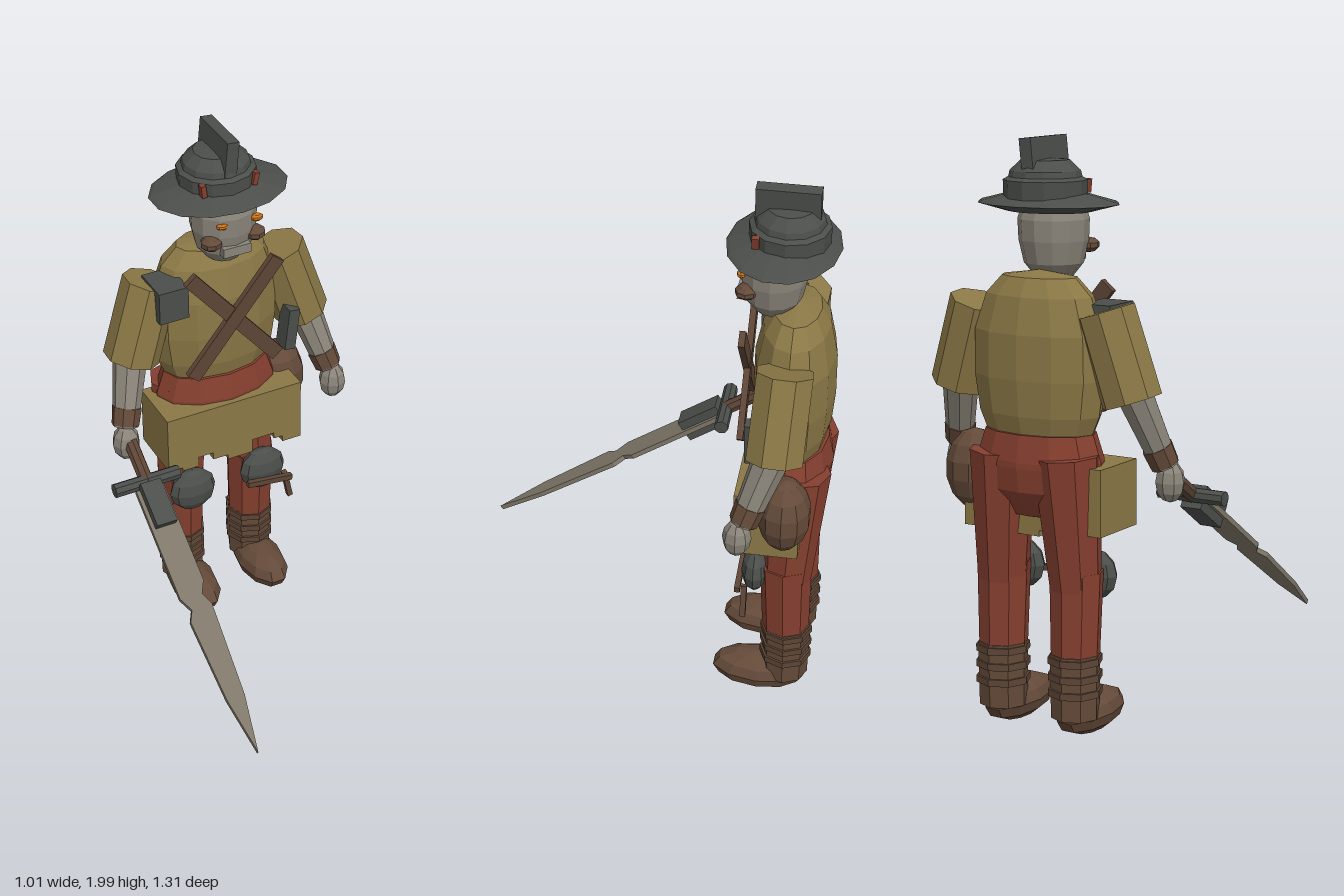
import * as THREE from 'three';

const mat = (name, color) => {
  const m = new THREE.MeshStandardMaterial({ color, flatShading: true });
  m.name = name;
  return m;
};
const V = (x, y, z) => new THREE.Vector3(x, y, z);

export function createModel() {
  const khaki = mat('khaki cloth', 0x8b7846);
  const red = mat('rust red cloth', 0x853f2f);
  const skin = mat('grey skin', 0x8b857a);
  const iron = mat('dark iron', 0x4b4e4b);
  const leather = mat('brown leather', 0x644a39);
  const strap = mat('strap brown', 0x5d4536);
  const steel = mat('dull steel', 0x7f7869);
  const orange = mat('orange eyes', 0xcf7418);

  const model = new THREE.Group();
  model.name = 'swordsman';
  const CX = 0.03; // body's own mirror plane

  const add = (name, geo, m, x = 0, y = 0, z = 0, parent = model) => {
    const mesh = new THREE.Mesh(geo, m);
    mesh.name = name;
    mesh.position.set(x, y, z);
    parent.add(mesh);
    return mesh;
  };
  const box = (name, m, size, pos, rz = 0, parent = model) => {
    const b = add(name, new THREE.BoxGeometry(...size), m, ...pos, parent);
    b.rotation.z = rz;
    return b;
  };
  const ball = (name, m, r, pos, parent = model, ws = 10, hs = 7) => {
    const b = add(name, new THREE.SphereGeometry(1, ws, hs), m, ...pos, parent);
    b.scale.set(...r);
    return b;
  };
  // Turned part, squashed in z
  const lathe = (name, m, pts, z, squash, sides = 12) => {
    const l = add(name, new THREE.LatheGeometry(pts.map(p => new THREE.Vector2(...p)), sides), m, CX, 0, z);
    l.scale.z = squash;
    return l;
  };
  // Tapered prism from a to b
  const limb = (name, m, a, b, ra, rb, sides = 8, parent = model) => {
    const d = b.clone().sub(a);
    const c = a.clone().add(b).multiplyScalar(0.5);
    const mesh = add(name, new THREE.CylinderGeometry(rb, ra, d.length(), sides), m, c.x, c.y, c.z, parent);
    mesh.quaternion.setFromUnitVectors(V(0, 1, 0), d.normalize());
    return mesh;
  };

  // Torso, waistband and hips
  lathe('torso', khaki, [[0, 1.03], [0.2, 1.035], [0.228, 1.1], [0.246, 1.22], [0.243, 1.37],
    [0.2, 1.49], [0.14, 1.55], [0, 1.57]], -0.5, 0.57);
  lathe('waistband', red, [[0, 0.93], [0.235, 0.93], [0.235, 0.95], [0.205, 1.04], [0, 1.04]], -0.5, 0.62);
  lathe('hips', red, [[0, 0.74], [0.12, 0.76], [0.21, 0.85], [0.225, 0.94], [0, 0.95]], -0.51, 0.6);

  // Crossed chest straps
  for (const s of [-1, 1]) {
    box('chestStrap', strap, [0.055, 0.53, 0.022], [CX + 0.003, 1.307, -0.338 - 0.002 * s], s * 0.69);
  }

  // Ragged apron with a notched hem
  const hem = [[-0.24, 0.94], [-0.24, 0.715], [-0.185, 0.715], [-0.185, 0.7], [-0.12, 0.7], [-0.12, 0.74],
    [-0.06, 0.74], [-0.06, 0.71], [0.0, 0.71], [0.0, 0.69], [0.1, 0.69], [0.1, 0.745],
    [0.19, 0.745], [0.19, 0.72], [0.225, 0.72], [0.225, 0.695], [0.3, 0.695], [0.3, 0.94]];
  add('apron', new THREE.ExtrudeGeometry(new THREE.Shape(hem.map(p => new THREE.Vector2(...p))),
    { depth: 0.225, bevelEnabled: false }), khaki, 0, 0, -0.56);

  // Carried gear
  ball('hipPouch', leather, [0.105, 0.14, 0.093], [0.29, 0.88, -0.508]);
  box('shoulderPlate', iron, [0.112, 0.125, 0.145], [-0.187, 1.407, -0.433]);
  box('sideSheath', iron, [0.042, 0.165, 0.07], [0.28, 1.16, -0.4], -0.12);

  // Arms and legs, mirrored about the body
  for (const s of [-1, 1]) {
    const arm = new THREE.Group(), leg = new THREE.Group();
    arm.name = s > 0 ? 'leftArm' : 'rightArm';
    leg.name = s > 0 ? 'leftLeg' : 'rightLeg';
    model.add(arm, leg);
    const P = (x, y, z) => V(CX + s * x, y, z);
    const at = (x, y, z) => P(x, y, z).toArray();

    limb('sleeve', khaki, P(0.248, 1.45, -0.49), P(0.34, 1.16, -0.475), 0.1, 0.102, 8, arm);
    limb('forearm', skin, P(0.34, 1.2, -0.475), P(0.412, 0.94, -0.385), 0.064, 0.046, 8, arm);
    limb('cuff', leather, P(0.393, 1.005, -0.408), P(0.411, 0.945, -0.387), 0.054, 0.05, 8, arm);
    ball('hand', skin, [0.051, 0.07, 0.05], at(0.419, 0.885, -0.368), arm, 8, 6);

    limb('thigh', red, P(0.125, 0.97, -0.535), P(0.145, 0.52, -0.515), 0.115, 0.087, 8, leg);
    limb('shin', red, P(0.145, 0.58, -0.51), P(0.145, 0.26, -0.52), 0.092, 0.083, 8, leg);
    ball('kneePad', iron, [0.092, 0.087, 0.05], at(0.145, 0.545, -0.405), leg, 10, 6);
    limb('boot', leather, P(0.145, 0.08, -0.522), P(0.145, 0.3, -0.522), 0.083, 0.086, 8, leg);
    for (const y of [0.17, 0.225, 0.28]) {
      limb('bootBand', strap, P(0.145, y - 0.012, -0.522), P(0.145, y + 0.012, -0.522), 0.093, 0.093, 8, leg);
    }
    const shoe = ball('shoe', leather, [0.088, 0.072, 0.172], at(0.145, 0.078, -0.428), leg, 10, 6);
    shoe.rotation.x = -0.03;
  }

  // Loose tie around the left knee
  box('kneeTie', strap, [0.185, 0.022, 0.02], [0.18, 0.515, -0.352], -0.13);
  box('kneeTieEnd', strap, [0.02, 0.12, 0.02], [0.265, 0.455, -0.375], 0.2);

  // Head and face
  lathe('head', skin, [[0, 1.53], [0.06, 1.535], [0.1, 1.585], [0.117, 1.66], [0.12, 1.73],
    [0.1, 1.79], [0, 1.8]], -0.415, 0.97);
  for (const s of [-1, 1]) {
    ball('eye', orange, [0.024, 0.014, 0.016], [CX + 0.018 + s * 0.066, 1.708, -0.318], model, 8, 5);
    ball('cheekTuft', leather, [0.04, 0.026, 0.04], [CX + s * 0.083, 1.64, -0.335], model, 8, 5);
  }
  box('muzzle', skin, [0.105, 0.035, 0.05], [CX, 1.605, -0.325]);

  // Hat: brim, crown, fin and red tags
  lathe('hatBrim', iron, [[0, 1.755], [0.15, 1.757], [0.252, 1.783], [0.24, 1.79], [0.14, 1.815], [0, 1.82]], -0.445, 0.76, 14);
  lathe('hatCrown', iron, [[0.138, 1.79], [0.14, 1.86], [0.122, 1.87], [0.117, 1.89], [0.08, 1.925], [0, 1.93]], -0.462, 0.97);
  box('hatFin', iron, [0.045, 0.21, 0.213], [0.033, 1.894, -0.455], -0.1);
  for (const s of [-1, 1]) {
    box('hatTag', red, [0.018, 0.045, 0.025], [CX + s * 0.098, 1.837, -0.362], s < 0 ? 0.1 : -0.25);
  }

  // Sword in the right hand; its length runs along local z
  const sword = new THREE.Group();
  sword.name = 'sword';
  sword.position.set(-0.383, 0.895, -0.34);
  sword.rotation.x = 0.59;
  model.add(sword);
  const edge = [[-0.053, 0.18], [0.054, 0.18], [0.054, 0.56], [0.03, 0.605], [0.05, 0.65],
    [0.034, 0.99], [0, 1.195], [-0.034, 0.99], [-0.049, 0.69], [-0.028, 0.65], [-0.053, 0.6]];
  const blade = new THREE.ExtrudeGeometry(new THREE.Shape(edge.map(p => new THREE.Vector2(...p))),
    { depth: 0.018, bevelEnabled: false });
  blade.rotateX(Math.PI / 2).translate(0, 0.009, 0);
  add('blade', blade, steel, 0, 0, 0, sword);
  limb('grip', strap, V(0, 0, -0.03), V(0, 0, 0.16), 0.026, 0.026, 8, sword);
  limb('crossguard', iron, V(-0.125, 0, 0.153), V(0.125, 0, 0.153), 0.026, 0.026, 8, sword);
  box('guardBlock', iron, [0.078, 0.085, 0.165], [0, 0, 0.25], 0, sword);

  return model;
}
